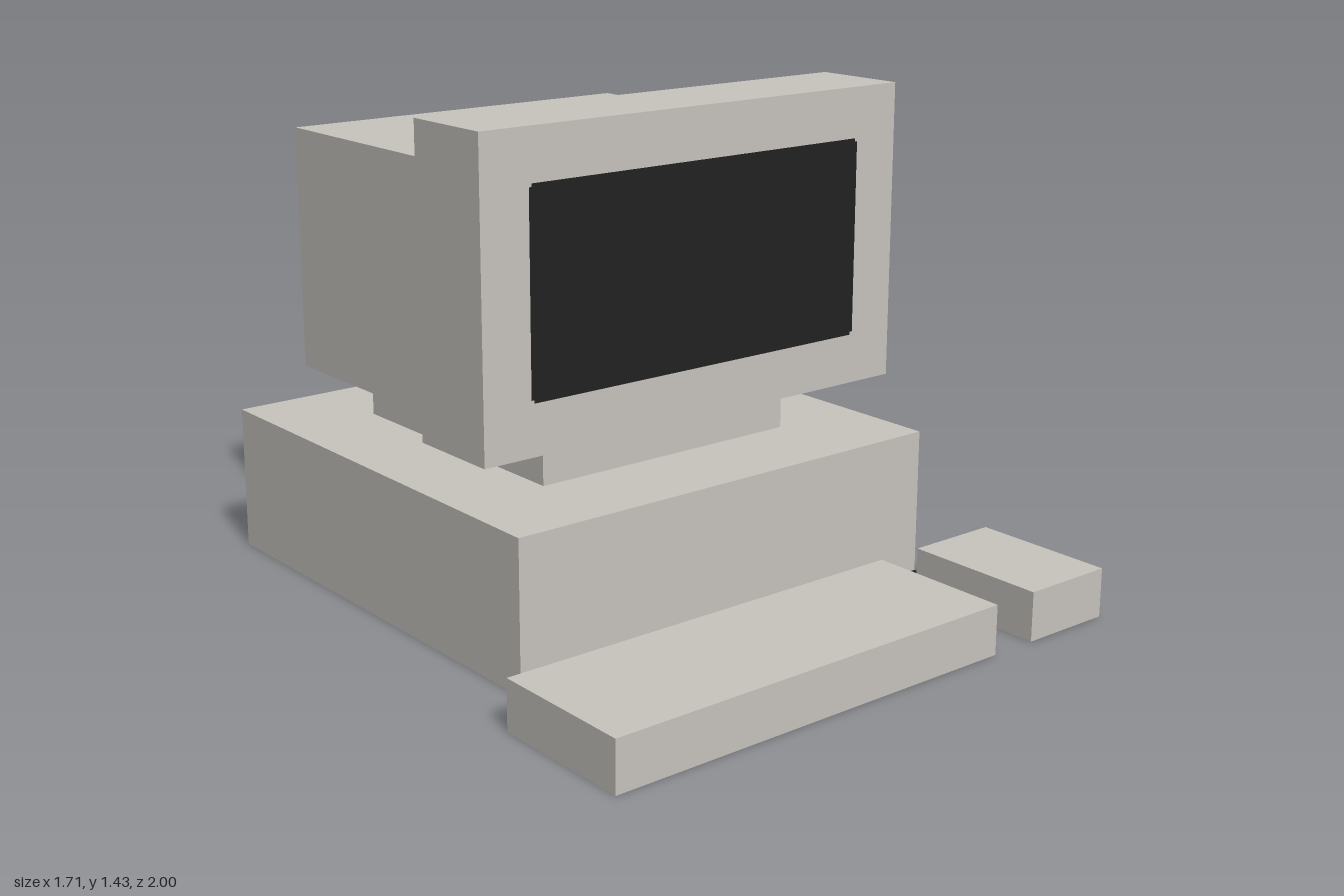
import * as THREE from 'three';

const U = 1 / 7; // the whole design sits on a grid of sevenths

export function createModel() {
  const model = new THREE.Group();
  model.name = 'desktopComputer';

  const casing = new THREE.MeshStandardMaterial({ color: 0xc8c4be });
  casing.name = 'warm grey casing';
  const black = new THREE.MeshStandardMaterial({ color: 0x222222, side: THREE.DoubleSide });
  black.name = 'black';

  const add = (name, geometry, material) => {
    const mesh = new THREE.Mesh(geometry, material);
    mesh.name = name;
    model.add(mesh);
    return mesh;
  };

  // Block given by its extents in grid units
  const block = (name, [x0, x1], [y0, y1], [z0, z1]) =>
    add(name, new THREE.BoxGeometry((x1 - x0) * U, (y1 - y0) * U, (z1 - z0) * U), casing)
      .position.set((x0 + x1) * U / 2, (y0 + y1) * U / 2, (z0 + z1) * U / 2);

  // Computer and monitor
  block('computerCase', [-5, 5], [0, 3], [-7, 3]);
  block('monitorStand', [-3, 3], [3, 4], [-5, 1]);
  block('monitorFrame', [-5, 5], [4, 10], [0, 2]);
  block('monitorBack', [-4, 4], [4, 9], [-6, 0]);

  // Keyboard and mouse
  block('keyboard', [-6, 3], [0, 1], [4, 7]);
  block('mouse', [4, 6], [0, 1], [4, 7]);

  // Screen: thin face with small stepped corners
  const w = 3.97 * U, h = 1.99 * U, n = 0.009;
  const outline = [
    [w - n, -h], [w - n, -h + n], [w, -h + n], [w, h - n], [w - n, h - n], [w - n, h],
    [n - w, h], [n - w, h - n], [-w, h - n], [-w, n - h], [n - w, n - h], [n - w, -h],
  ].map(([x, y]) => new THREE.Vector2(x, y));
  add('screen', new THREE.ShapeGeometry(new THREE.Shape(outline)), black)
    .position.set(0, 7 * U, 2 * U + 0.002);

  // Flat cables on the ground joining keyboard and mouse to the case
  for (const [name, x] of [['keyboardCable', -1.5], ['mouseCable', 4.5]]) {
    const cable = add(name, new THREE.PlaneGeometry(U, U), black);
    cable.rotation.x = -Math.PI / 2;
    cable.position.set(x * U, 0.001, 3.5 * U);
  }

  return model;
}
